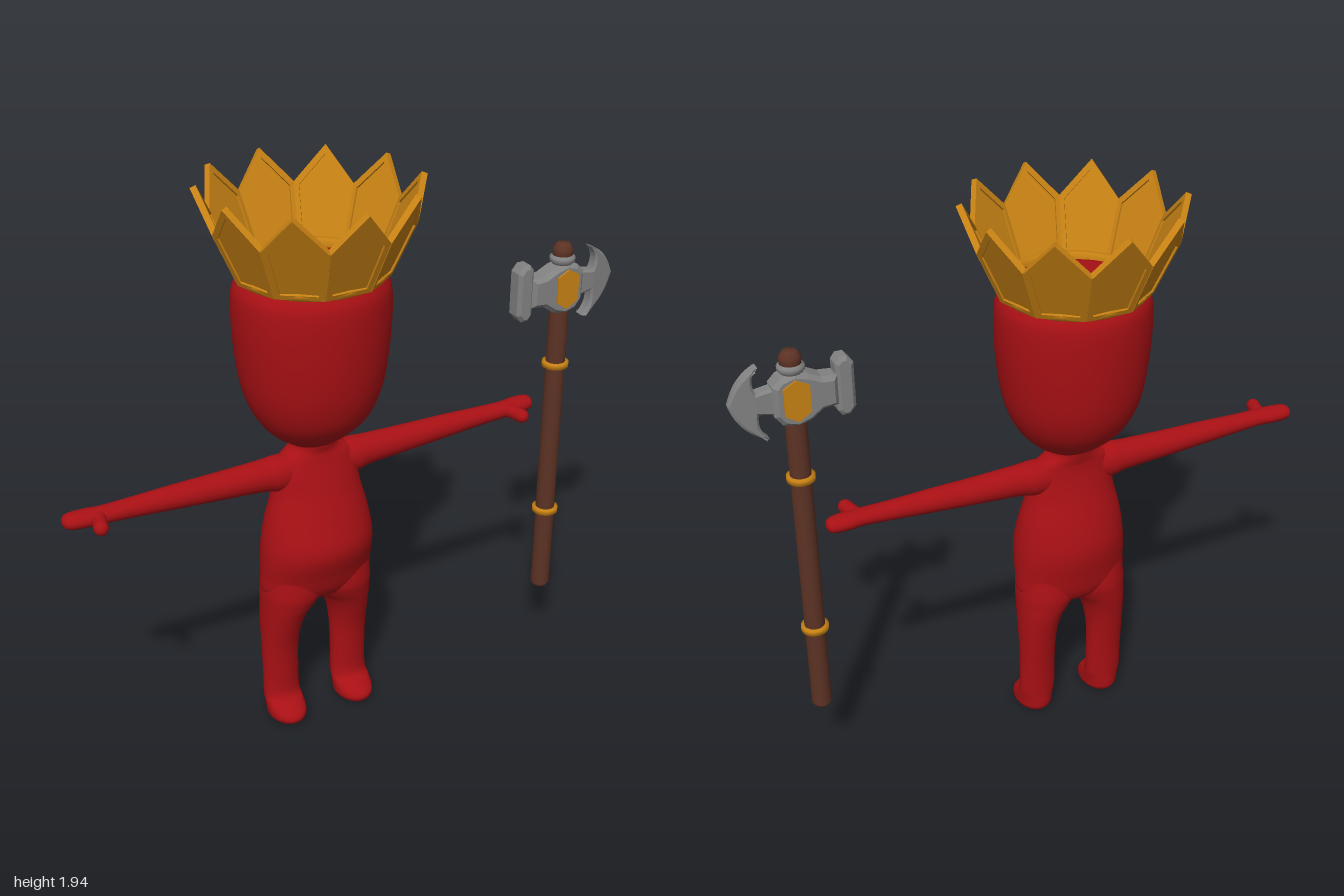
import * as THREE from 'three';

const mat = (name, color) => Object.assign(new THREE.MeshStandardMaterial({ color }), { name });

// Smooth tube through elliptical sections [t, cu, cv, ru, rv]; place() maps (u, t, v) to x, y, z
function loft(sections, place, flip = false, sides = 40, steps = 5) {
  const cr = (a, b, c, d, f) =>
    b + 0.5 * f * (c - a + f * (2 * a - 5 * b + 4 * c - d + f * (3 * (b - c) + d - a)));
  const rows = [];
  const n = sections.length - 1;
  for (let i = 0; i < n; i++) {
    const at = k => sections[Math.min(n, Math.max(0, i + k))];
    for (let s = 0; s < steps; s++)
      rows.push(at(0).map((_, k) => cr(at(-1)[k], at(0)[k], at(1)[k], at(2)[k], s / steps)));
  }
  rows.push(sections[n]);
  const pos = [], idx = [];
  rows.forEach(([t, cu, cv, ru, rv], r) => {
    for (let j = 0; j < sides; j++) {
      const a = (j / sides) * Math.PI * 2;
      pos.push(...place(cu + Math.max(ru, 0.0005) * Math.cos(a), t, cv + Math.max(rv, 0.0005) * Math.sin(a)));
      if (r === rows.length - 1) continue;
      const p = r * sides + j, q = r * sides + (j + 1) % sides, up = p + sides, uq = q + sides;
      if (flip) idx.push(p, q, up, q, uq, up);
      else idx.push(p, up, q, q, up, uq);
    }
  });
  const g = new THREE.BufferGeometry();
  g.setAttribute('position', new THREE.Float32BufferAttribute(pos, 3));
  g.setIndex(idx);
  g.computeVertexNormals();
  return g;
}

const polygon = pts => new THREE.Shape(pts.map(([x, y]) => new THREE.Vector2(x, y)));

// Plate of the given depth centred on z = 0, with optional bevel
function plate(shape, depth, bevel = 0) {
  return new THREE.ExtrudeGeometry(shape, {
    depth: depth - 2 * bevel, bevelEnabled: bevel > 0, bevelSize: bevel, bevelThickness: bevel,
    bevelOffset: -bevel, bevelSegments: 1, curveSegments: 12,
  }).translate(0, 0, -depth / 2 + bevel);
}

export function createModel() {
  const red = mat('red skin', 0xa81014);
  const gold = mat('gold', 0xc88214);
  const wood = mat('brown wood', 0x5c3224);
  const steel = mat('grey steel', 0x828282);

  const model = new THREE.Group();
  const add = (parent, name, geometry, material) => {
    const m = new THREE.Mesh(geometry, material);
    m.name = name;
    parent.add(m);
    return m;
  };
  const group = (name, x, y, z) => {
    const g = new THREE.Group();
    g.name = name;
    g.position.set(x, y, z);
    model.add(g);
    return g;
  };

  // Figure
  const body = group('figure', -0.12, 0, 0);
  const upright = (u, t, v) => [u, t, v];
  add(body, 'head', loft([
    [1.045, 0, 0.01, 0.04, 0.04], [1.075, 0, 0.01, 0.09, 0.075], [1.11, 0, 0.01, 0.14, 0.12],
    [1.17, 0, 0.01, 0.19, 0.175], [1.25, 0, 0.008, 0.226, 0.21], [1.35, 0, 0.008, 0.246, 0.228],
    [1.48, 0, 0.008, 0.258, 0.237], [1.58, 0, 0.008, 0.257, 0.237], [1.625, 0, 0.008, 0.245, 0.225],
    [1.65, 0, 0.008, 0.215, 0.2], [1.658, 0, 0.008, 0.12, 0.12], [1.66, 0, 0.008, 0, 0],
  ], upright), red);
  add(body, 'torso', loft([
    [0.475, 0, 0, 0, 0], [0.49, 0, 0.005, 0.12, 0.07], [0.53, 0, 0.01, 0.196, 0.105],
    [0.6, 0, 0.016, 0.202, 0.125], [0.7, 0, 0.025, 0.2, 0.146], [0.8, 0, 0.022, 0.185, 0.125],
    [0.9, 0, 0.02, 0.16, 0.094], [0.97, 0, 0.018, 0.152, 0.076], [1.02, 0, 0.014, 0.135, 0.066],
    [1.045, 0, 0.01, 0.1, 0.066], [1.065, 0, 0.01, 0.08, 0.07], [1.1, 0, 0.01, 0.085, 0.075],
  ], upright), red);

  const legSections = [
    [0.008, 0.133, 0.03, 0, 0], [0.012, 0.133, 0.034, 0.045, 0.062], [0.028, 0.133, 0.036, 0.064, 0.082],
    [0.05, 0.133, 0.034, 0.067, 0.083], [0.075, 0.133, 0.018, 0.067, 0.066], [0.105, 0.133, 0.0, 0.066, 0.048],
    [0.2, 0.133, -0.003, 0.065, 0.05], [0.3, 0.133, -0.004, 0.066, 0.06], [0.38, 0.129, 0, 0.072, 0.075],
    [0.44, 0.119, 0.004, 0.082, 0.09], [0.48, 0.104, 0.008, 0.097, 0.1], [0.53, 0.09, 0.012, 0.111, 0.108],
    [0.62, 0.085, 0.016, 0.105, 0.1],
  ];
  const armSections = [
    [0.05, 0.014, 0.975, 0.05, 0.06], [0.14, 0.014, 0.976, 0.055, 0.062], [0.2, 0.014, 0.98, 0.05, 0.054],
    [0.35, 0.013, 0.983, 0.046, 0.046], [0.5, 0.013, 0.987, 0.04, 0.04], [0.65, 0.013, 0.99, 0.034, 0.032],
    [0.74, 0.014, 0.992, 0.034, 0.028], [0.79, 0.01, 0.993, 0.037, 0.028], [0.84, 0.007, 0.993, 0.033, 0.026],
    [0.86, 0.006, 0.993, 0.022, 0.018], [0.868, 0.006, 0.993, 0, 0],
  ];
  for (const [side, s] of [['left', 1], ['right', -1]]) {
    add(body, side + 'Leg', loft(legSections, (u, t, v) => [s * u, t, v], s < 0), red);
    add(body, side + 'Arm', loft(armSections, (u, t, v) => [s * t, v, u], s < 0), red);
    const thumb = add(body, side + 'Thumb', new THREE.CapsuleGeometry(0.024, 0.06, 6, 16), red);
    thumb.position.set(s * 0.765, 0.993, 0.062);
    thumb.rotation.set(Math.PI / 2, 0, -s * 0.25);
  }

  // Crown: ten sloping pointed panels, each with a raised frame
  const crown = group('crown', -0.116, 1.65, 0);
  const frame = polygon([[-0.076, 0], [0.076, 0], [0.1, 0.19], [0, 0.315], [-0.1, 0.19]]);
  const inner = [[-0.059, 0.018], [0.059, 0.018], [0.08, 0.183], [0, 0.284], [-0.08, 0.183]];
  frame.holes.push(polygon(inner));
  const frameGeo = plate(frame, 0.02);
  const panelGeo = plate(polygon(inner), 0.007);
  for (let i = 0; i < 10; i++) {
    const petal = new THREE.Group();
    petal.name = 'crownPoint' + (i + 1);
    petal.rotation.y = (i * Math.PI) / 5;
    crown.add(petal);
    for (const [name, geo] of [['pointFrame', frameGeo], ['pointPanel', panelGeo]]) {
      const m = add(petal, name, geo, gold);
      m.position.z = 0.23;
      m.rotation.x = 0.404;
    }
  }
  // Rim that sits on the head
  const rim = [[0.215, -0.008], [0.238, -0.008], [0.246, 0.004], [0.246, 0.014], [0.236, 0.022], [0.215, 0.022], [0.215, -0.008]];
  add(crown, 'crownRim', new THREE.LatheGeometry(rim.map(p => new THREE.Vector2(...p)), 40), gold);

  // Battle axe with a hammer on the back
  const axe = group('axe', 0.795, 0, 0.07);
  const turned = (name, pts, material, sides = 24) =>
    add(axe, name, new THREE.LatheGeometry(pts.map(p => new THREE.Vector2(...p)), sides), material);
  turned('handle', [[0, 0.245], [0.022, 0.245], [0.034, 0.262], [0.034, 1.52], [0, 1.52]], wood);
  turned('handleKnob', [[0.03, 1.5], [0.03, 1.55], [0.034, 1.56], [0.034, 1.578], [0.022, 1.595], [0, 1.597]], wood);
  turned('steelCollar', [[0.034, 1.525], [0.043, 1.535], [0.043, 1.548], [0.034, 1.555]], steel);
  for (const y of [0.575, 1.155])
    turned('handleRing', [[0.033, y - 0.011], [0.046, y - 0.009], [0.046, y + 0.009], [0.033, y + 0.011]], gold);

  const head = new THREE.Group();
  head.name = 'axeHead';
  head.position.y = 1.445;
  axe.add(head);
  add(head, 'axeSocket', plate(polygon([
    [-0.135, -0.05], [-0.085, -0.055], [-0.045, -0.083], [0, -0.097], [0.045, -0.083], [0.07, -0.05],
    [0.07, 0.05], [0.045, 0.075], [0, 0.088], [-0.045, 0.075], [-0.085, 0.055], [-0.135, 0.05],
  ]), 0.078, 0.014), steel);
  const hammer = add(head, 'hammer', plate(polygon([
    [-0.19, -0.075], [-0.17, -0.1], [-0.145, -0.1], [-0.13, -0.08],
    [-0.13, 0.08], [-0.145, 0.1], [-0.17, 0.1], [-0.19, 0.075],
  ]), 0.066, 0.012), steel);
  hammer.position.y = 0.005;

  // Crescent blade, thinned toward its cutting edge
  const blade = new THREE.Shape();
  blade.moveTo(0.05, -0.048);
  blade.lineTo(0.115, -0.035);
  blade.quadraticCurveTo(0.125, -0.09, 0.088, -0.125);
  blade.quadraticCurveTo(0.18, -0.09, 0.205, 0.01);
  blade.quadraticCurveTo(0.175, 0.1, 0.105, 0.122);
  blade.quadraticCurveTo(0.14, 0.085, 0.118, 0.038);
  blade.lineTo(0.05, 0.048);
  const bladeGeo = plate(blade, 0.05, 0.008);
  const p = bladeGeo.attributes.position;
  for (let i = 0; i < p.count; i++)
    p.setZ(i, p.getZ(i) * (1 - 0.55 * THREE.MathUtils.clamp((p.getX(i) - 0.1) / 0.1, 0, 1)));
  bladeGeo.computeVertexNormals();
  add(head, 'blade', bladeGeo, steel);

  // Gold plates on both faces of the socket
  const inlay = plate(polygon([[-0.042, -0.045], [0, -0.072], [0.042, -0.045], [0.042, 0.045], [0, 0.068], [-0.042, 0.045]]), 0.008);
  for (const s of [1, -1]) add(head, 'goldInlay', inlay, gold).position.z = s * 0.041;

  return model;
}
